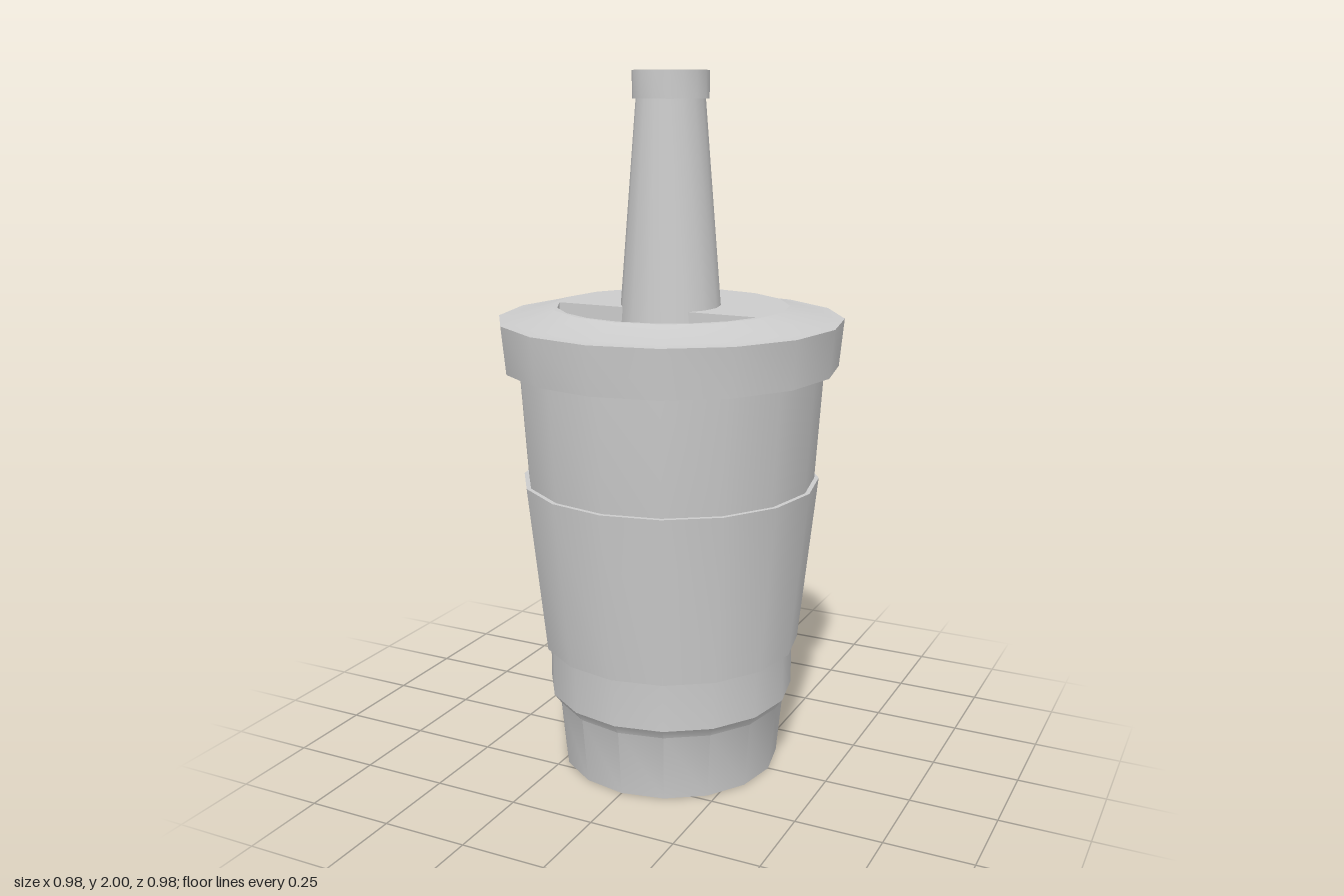
import * as THREE from 'three';
import { toCreasedNormals } from 'three/addons/utils/BufferGeometryUtils.js';

const SIDES = 16;
const grey = new THREE.MeshStandardMaterial({ color: 0xcccccc });
const greyDouble = new THREE.MeshStandardMaterial({ color: 0xcccccc, side: THREE.DoubleSide });

// Turned part: profile of [radius, height] pairs, listed from bottom to top on the outside
function turned(name, profile, material = grey) {
  const points = profile.map(([r, y]) => new THREE.Vector2(r, y));
  const geometry = toCreasedNormals(new THREE.LatheGeometry(points, SIDES), 0.55);
  const mesh = new THREE.Mesh(geometry, material);
  mesh.name = name;
  return mesh;
}

export function createModel() {
  const group = new THREE.Group();
  group.name = 'travelCup';

  // Cup: narrow foot, straight collar, tapered wall
  group.add(turned('cupBody', [
    [0, 0], [0.32, 0], [0.338, 0.195], [0.36, 0.225], [0.36, 0.45], [0.415, 0.86], [0.437, 1.2],
  ]));

  // Grip sleeve standing proud of the wall
  group.add(turned('sleeve', [
    [0.355, 0.37], [0.376, 0.37], [0.428, 0.86], [0.41, 0.86],
  ]));

  // Lid rim and sloped shoulder
  group.add(turned('lidRim', [
    [0.425, 1.19], [0.476, 1.19], [0.489, 1.325], [0.45, 1.327], [0.335, 1.36],
  ], greyDouble));

  // Lid top with a half-moon drinking recess cut towards the front
  const topY = 1.36, depth = 0.055;
  const top = new THREE.Shape();
  for (let i = 0; i < SIDES; i++) {
    const a = (i / SIDES) * Math.PI * 2;
    top[i ? 'lineTo' : 'moveTo'](0.335 * Math.cos(a), 0.335 * Math.sin(a));
  }
  top.closePath();
  const recess = new THREE.Path();
  for (let i = 0; i <= 8; i++) {
    const a = -(18 + i * 18) * Math.PI / 180;
    recess[i ? 'lineTo' : 'moveTo'](0.32 * Math.cos(a), 0.32 * Math.sin(a));
  }
  recess.closePath();
  top.holes.push(recess);
  const topGeometry = new THREE.ExtrudeGeometry(top, { depth, bevelEnabled: false });
  topGeometry.rotateX(-Math.PI / 2).translate(0, topY - depth, 0);
  const lidTop = new THREE.Mesh(toCreasedNormals(topGeometry, 0.55), grey);
  lidTop.name = 'lidTop';
  group.add(lidTop);

  // Floor of the recess
  const floor = new THREE.Mesh(new THREE.CircleGeometry(0.333, SIDES), grey);
  floor.name = 'recessFloor';
  floor.rotation.x = -Math.PI / 2;
  floor.position.y = topY - depth + 0.001;
  group.add(floor);

  // Tapered neck, collar and rounded hollow mouth
  group.add(turned('neck', [[0.146, 1.3], [0.096, 1.925]]));
  const mouth = [[0.09, 1.925], [0.106, 1.925], [0.106, 2], [0.077, 2]];
  for (let i = 1; i <= 6; i++) {
    const a = (i / 6) * Math.PI / 2;
    mouth.push([0.077 * Math.cos(a), 2 - 0.07 * Math.sin(a)]);
  }
  group.add(turned('mouthpiece', mouth));

  return group;
}
